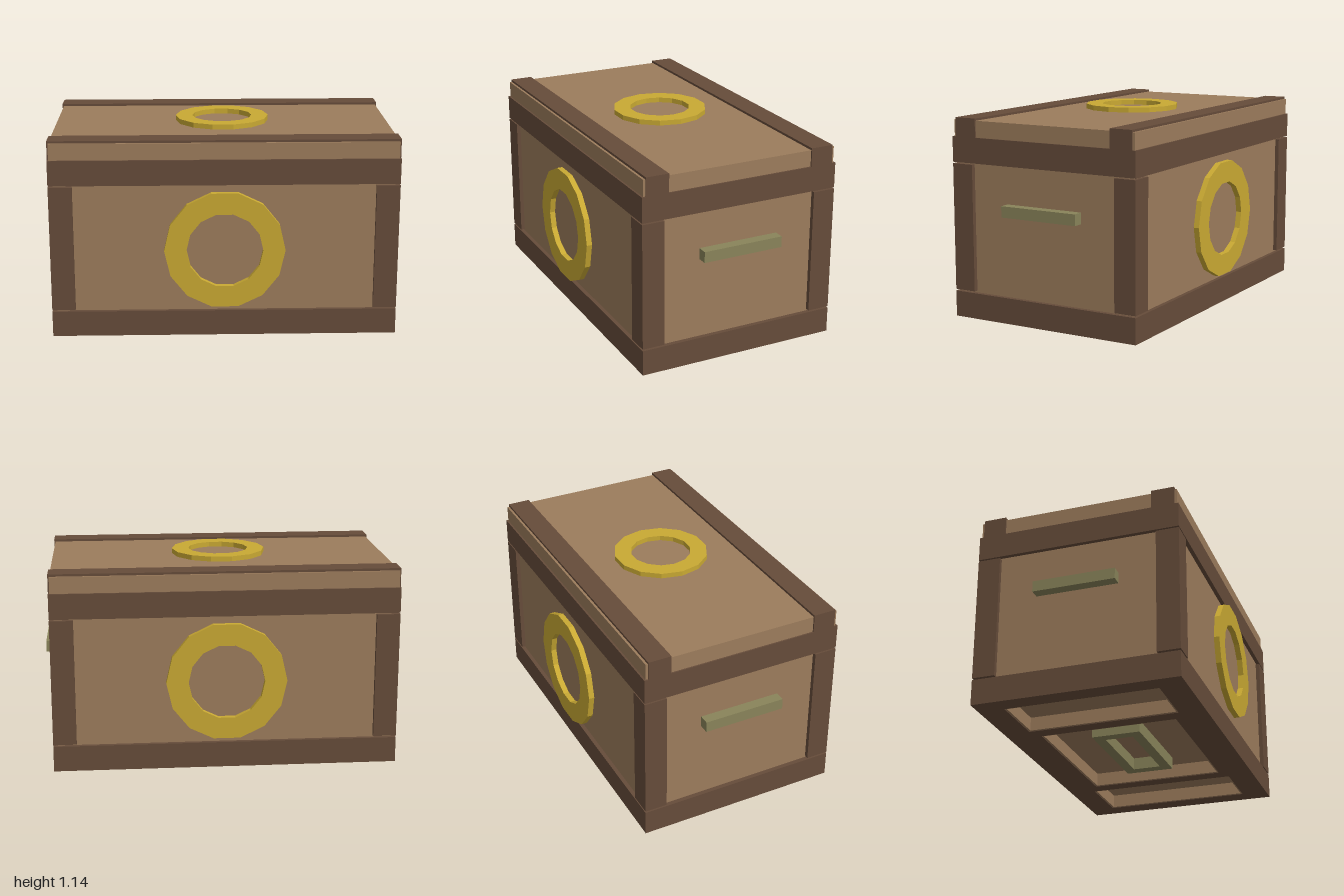
import * as THREE from 'three';

const mat = (name, color) => {
  const m = new THREE.MeshStandardMaterial({ color });
  m.name = name;
  return m;
};

export function createModel() {
  const wood = mat('tanWood', 0x9c7c5c);
  const trim = mat('darkWood', 0x664c3a);
  const gold = mat('gold', 0xc9a933);
  const olive = mat('oliveMetal', 0x89845a);

  const chest = new THREE.Group();
  chest.name = 'chest';

  // Box from its min and max corners
  const box = (name, material, [x0, y0, z0], [x1, y1, z1]) => {
    const mesh = new THREE.Mesh(new THREE.BoxGeometry(x1 - x0, y1 - y0, z1 - z0), material);
    mesh.position.set((x0 + x1) / 2, (y0 + y1) / 2, (z0 + z1) / 2);
    mesh.name = name;
    chest.add(mesh);
    return mesh;
  };

  // Horizontal rectangular frame: outer half sizes, rectangular holes [x0, x1, halfZ], height range
  const frame = (name, material, hx, hz, holes, y0, y1) => {
    const rect = (T, a, b, h) => {
      const p = new T();
      p.moveTo(a, -h).lineTo(b, -h).lineTo(b, h).lineTo(a, h).closePath();
      return p;
    };
    const shape = rect(THREE.Shape, -hx, hx, hz);
    shape.holes = holes.map(([a, b, h]) => rect(THREE.Path, a, b, h));
    const geo = new THREE.ExtrudeGeometry(shape, { depth: y1 - y0, bevelEnabled: false });
    geo.rotateX(-Math.PI / 2);
    const mesh = new THREE.Mesh(geo, material);
    mesh.position.y = y0;
    mesh.name = name;
    chest.add(mesh);
  };

  // Flat fourteen-sided ring facing +z
  const ring = (name, outer, inner, depth) => {
    const points = (r) => Array.from({ length: 14 }, (_, i) => {
      const a = (i / 14) * Math.PI * 2;
      return new THREE.Vector2(r * Math.cos(a), r * Math.sin(a));
    });
    const shape = new THREE.Shape(points(outer));
    shape.holes.push(new THREE.Path(points(inner)));
    const geo = new THREE.ExtrudeGeometry(shape, { depth, bevelEnabled: false });
    const mesh = new THREE.Mesh(geo, gold);
    mesh.name = name;
    chest.add(mesh);
    return mesh;
  };

  // Body and lid
  box('body', wood, [-0.94, 0.08, -0.555], [0.94, 0.9, 0.555]);
  box('upperTrim', trim, [-0.965, 0.873, -0.578], [0.965, 1.015, 0.578]);
  box('lid', wood, [-0.957, 1.0, -0.568], [0.957, 1.107, 0.568]);

  // Base: dark rim with two cross beams, and tan lining inside its three recesses
  const holes = [[-0.86, -0.52, 0.43], [-0.44, 0.44, 0.39], [0.52, 0.86, 0.43]];
  frame('baseTrim', trim, 0.965, 0.578, holes, 0, 0.145);
  const t = 0.01;
  for (const [a, b, h] of holes) {
    for (const s of [-1, 1]) {
      const zEdge = [s * h, s * (h - t)].sort((p, q) => p - q);
      box('recessLining', wood, [a, 0.003, zEdge[0]], [b, 0.1, zEdge[1]]);
    }
    box('recessLining', wood, [a, 0.003, -h + t], [a + t, 0.1, h - t]);
    box('recessLining', wood, [b - t, 0.003, -h + t], [b, 0.1, h - t]);
  }
  frame('undersideFrame', olive, 0.31, 0.14, [[-0.25, 0.25, 0.08]], 0.01, 0.085);

  for (const s of [-1, 1]) {
    // Corner posts
    for (const k of [-1, 1]) {
      const post = box('cornerPost', trim, [-0.065, 0.155, -0.064], [0.065, 0.865, 0.064]);
      post.position.x = s * 0.9;
      post.position.z = k * 0.514;
    }
    // Lid strips
    const strip = box('lidStrip', trim, [-0.965, 1.015, -0.065], [0.965, 1.12, 0.065]);
    strip.position.z = s * 0.49;
    // End handles
    const handle = box('endHandle', olive, [-0.035, 0.6, -0.234], [0.035, 0.662, 0.234]);
    handle.position.x = s * 0.965;
    // Front and back rings
    const r = ring(s > 0 ? 'frontRing' : 'backRing', 0.335, 0.212, 0.032);
    r.position.set(0, 0.51, s * 0.586);
    if (s < 0) r.rotation.y = Math.PI;
  }

  // Lid ring
  const top = ring('lidRing', 0.268, 0.172, 0.028);
  top.rotation.x = -Math.PI / 2;
  top.position.y = 1.112;

  return chest;
}
